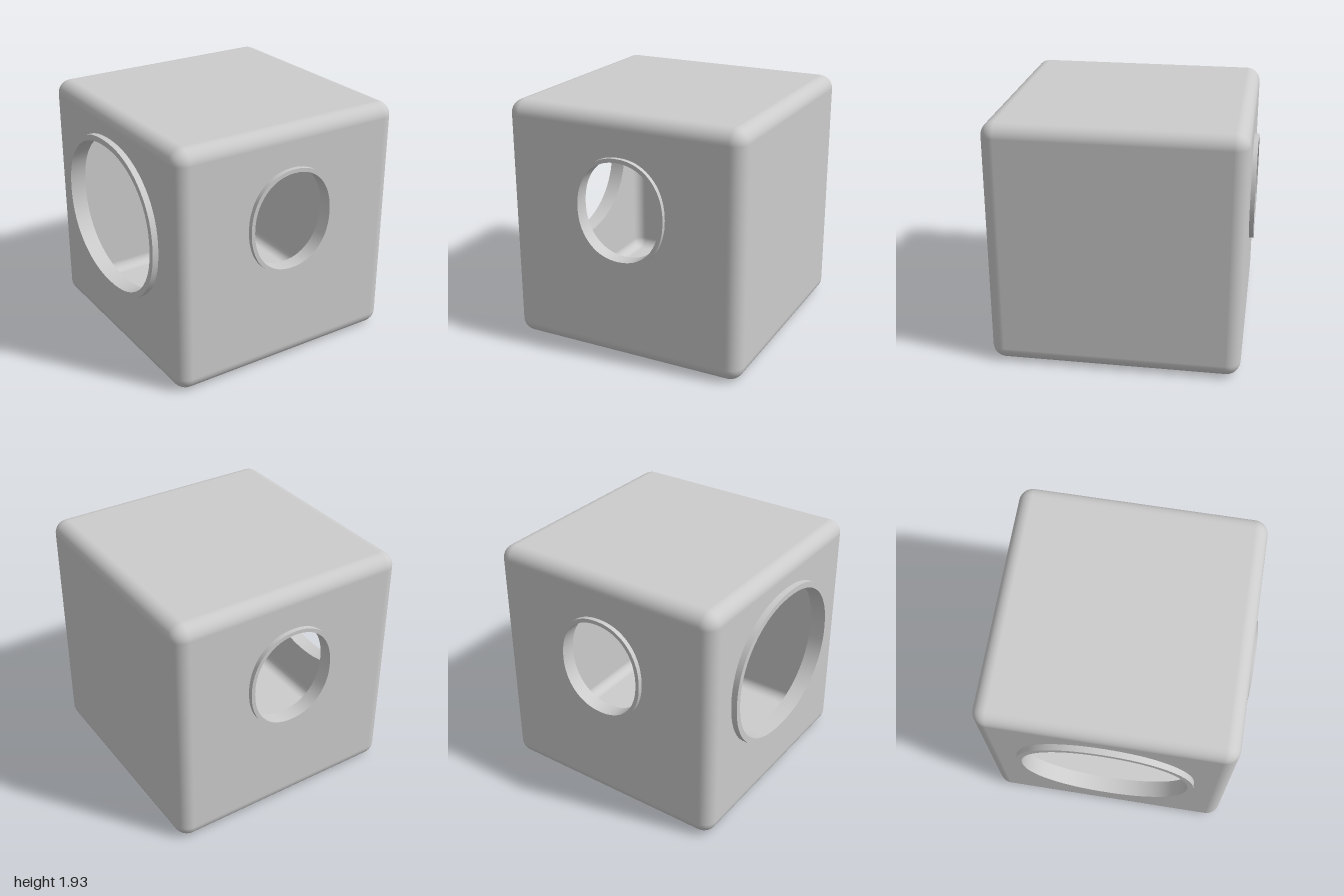
import * as THREE from 'three';
import { RoundedBoxGeometry } from 'three/addons/geometries/RoundedBoxGeometry.js';
import { toCreasedNormals } from 'three/addons/utils/BufferGeometryUtils.js';

const SIZE = 1.93, RADIUS = 0.11, WALL = 0.08, INNER_RADIUS = 0.08;

// Openings: turn about y, centre height above the box centre, half sizes, rim width, protrusion
const OPENINGS = [
  { name: 'front', turn: 0, y: 0.237, a: 0.37, b: 0.415, rim: 0.03, out: 0.035 },
  { name: 'back', turn: Math.PI, y: 0.237, a: 0.37, b: 0.415, rim: 0.03, out: 0.035 },
  { name: 'right', turn: -Math.PI / 2, y: 0.137, a: 0.692, b: 0.622, rim: 0.045, out: 0.047 },
];

// Slightly squared oval outline
function ovalPoints(a, b, y) {
  const points = [], power = 2 / 2.15;
  for (let i = 0; i < 72; i++) {
    const t = (i / 72) * Math.PI * 2, c = Math.cos(t), s = Math.sin(t);
    points.push(new THREE.Vector2(
      a * Math.sign(c) * Math.abs(c) ** power,
      y + b * Math.sign(s) * Math.abs(s) ** power));
  }
  return points;
}

// Rounded box without its flat front, back and right faces
function openBox(size, radius) {
  const source = new RoundedBoxGeometry(size, size, size, 6, radius).toNonIndexed();
  const p = source.attributes.position, n = source.attributes.normal;
  const positions = [], normals = [];
  for (let i = 0; i < p.count; i += 3) {
    const corners = [i, i + 1, i + 2];
    const open = corners.every((k) => Math.abs(n.getZ(k)) > 0.9999)
      || corners.every((k) => n.getX(k) < -0.9999);
    if (open) continue;
    for (const k of corners) {
      positions.push(p.getX(k), p.getY(k), p.getZ(k));
      normals.push(n.getX(k), n.getY(k), n.getZ(k));
    }
  }
  const geometry = new THREE.BufferGeometry();
  geometry.setAttribute('position', new THREE.Float32BufferAttribute(positions, 3));
  geometry.setAttribute('normal', new THREE.Float32BufferAttribute(normals, 3));
  return geometry;
}

// Flat square wall with an oval hole
function holedPanel(size, radius, o) {
  const h = size / 2 - radius;
  const shape = new THREE.Shape([[-h, -h], [h, -h], [h, h], [-h, h]].map((c) => new THREE.Vector2(...c)));
  shape.holes.push(new THREE.Path(ovalPoints(o.a, o.b, o.y)));
  return new THREE.ShapeGeometry(shape).translate(0, 0, size / 2).rotateY(o.turn);
}

// Sleeve lining the hole through the wall and standing proud of it
function sleeve(o) {
  const shape = new THREE.Shape(ovalPoints(o.a, o.b, o.y));
  shape.holes.push(new THREE.Path(ovalPoints(o.a - o.rim, o.b - o.rim, o.y)));
  const geometry = new THREE.ExtrudeGeometry(shape, { depth: WALL + o.out, bevelEnabled: false });
  geometry.translate(0, 0, SIZE / 2 - WALL).rotateY(o.turn);
  return toCreasedNormals(geometry, Math.PI / 5);
}

export function createModel() {
  const model = new THREE.Group();
  model.name = 'hollowCube';
  const material = new THREE.MeshStandardMaterial({ color: 0xcccccc });
  const thin = new THREE.MeshStandardMaterial({ color: 0xcccccc, side: THREE.DoubleSide });
  const add = (name, geometry, mat) => {
    const mesh = new THREE.Mesh(geometry, mat);
    mesh.name = name;
    mesh.position.set(0.022, SIZE / 2, 0);
    model.add(mesh);
  };

  // Outer and inner skins
  const innerSize = SIZE - 2 * WALL;
  add('outerShell', openBox(SIZE, RADIUS), material);
  add('innerShell', openBox(innerSize, INNER_RADIUS), thin);

  // Pierced walls and their rims
  for (const o of OPENINGS) {
    add(o.name + 'OuterWall', holedPanel(SIZE, RADIUS, o), material);
    add(o.name + 'InnerWall', holedPanel(innerSize, INNER_RADIUS, o), thin);
    add(o.name + 'Rim', sleeve(o), material);
  }
  return model;
}
